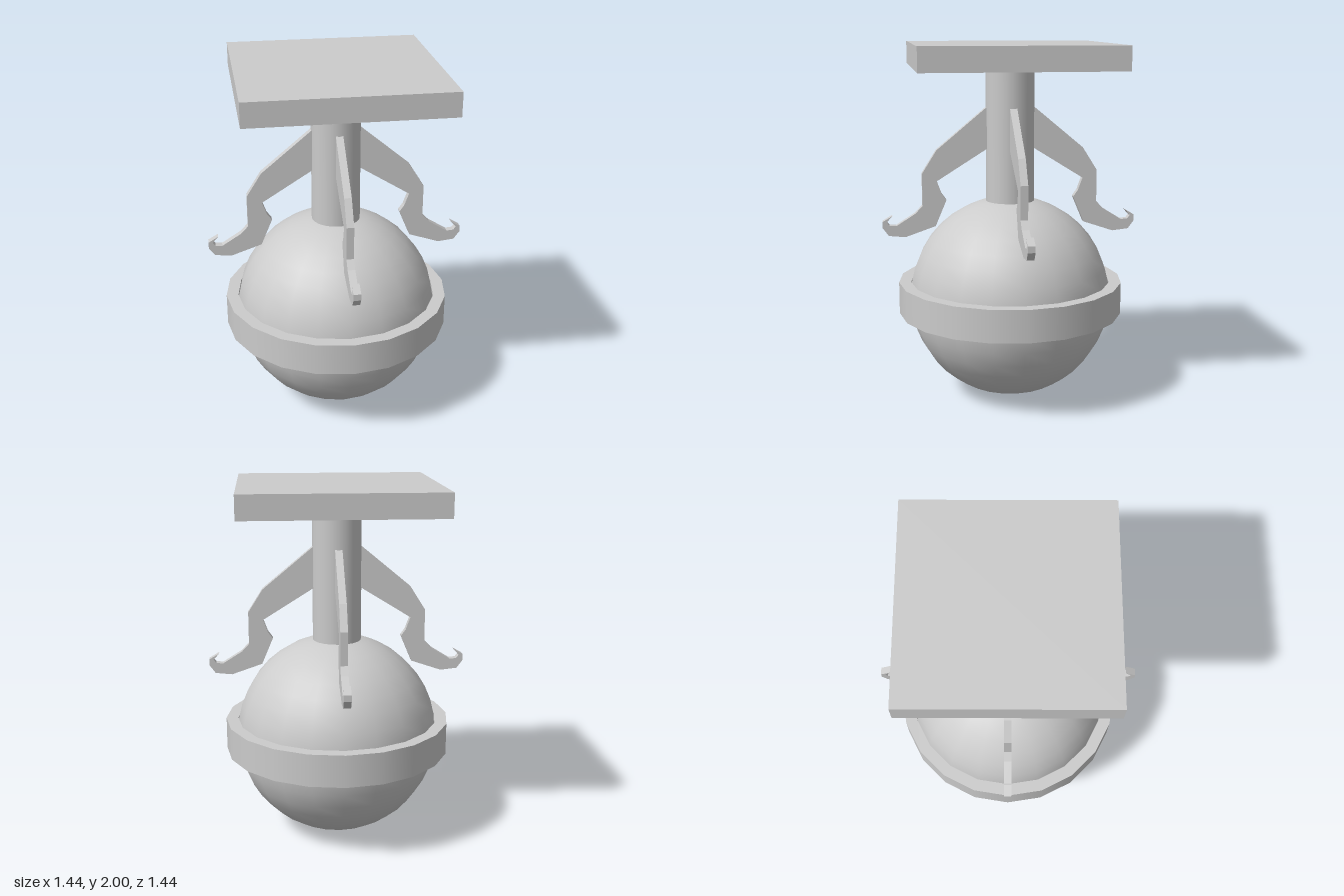
import * as THREE from 'three';

export function createModel() {
  const model = new THREE.Group();
  model.name = 'hangingLamp';
  const material = new THREE.MeshStandardMaterial({ color: 0xcccccc });
  const SIDES = 20;

  const add = (name, geometry, y = 0) => {
    const mesh = new THREE.Mesh(geometry, material);
    mesh.name = name;
    mesh.position.y = y;
    model.add(mesh);
    return mesh;
  };

  // Square mounting plate and round stem
  add('mountingPlate', new THREE.BoxGeometry(1.08, 0.13, 1.08), 1.935);
  add('stem', new THREE.CylinderGeometry(0.136, 0.136, 0.77, SIDES), 1.485);

  // Globe
  add('globe', new THREE.SphereGeometry(0.57, SIDES, 20), 0.575);

  // Band around the globe: smooth walls, sharp rims
  const outer = 0.634, inner = 0.566, low = 0.49, high = 0.67;
  const wall = (name, a, b) => add(name, new THREE.LatheGeometry(
    [new THREE.Vector2(...a), new THREE.Vector2(...b)], SIDES));
  wall('bandOuter', [outer, low], [outer, high]);
  wall('bandTop', [outer, high], [inner, high]);
  wall('bandInner', [inner, high], [inner, low]);
  wall('bandBottom', [inner, low], [outer, low]);

  // Scrolled arm outline: distance from the axis, height
  const outline = [
    [0.12, 1.664], [0.413, 1.42], [0.495, 1.29], [0.495, 1.11], [0.535, 1.067],
    [0.642, 1.0], [0.68, 1.003], [0.695, 1.022], [0.663, 1.057], [0.718, 1.025],
    [0.718, 0.99], [0.685, 0.945], [0.593, 0.935], [0.423, 0.993], [0.361, 1.14],
    [0.388, 1.178], [0.413, 1.247], [0.12, 1.43],
  ].map(p => new THREE.Vector2(...p));
  const thickness = 0.04;
  const armGeometry = new THREE.ExtrudeGeometry(new THREE.Shape(outline),
    { depth: thickness, bevelEnabled: false });
  armGeometry.translate(0, 0, -thickness / 2);

  // Four arms around the stem
  ['leftArm', 'backArm', 'rightArm', 'frontArm'].forEach((name, i) => {
    add(name, armGeometry).rotation.y = i * Math.PI / 2;
  });

  return model;
}
